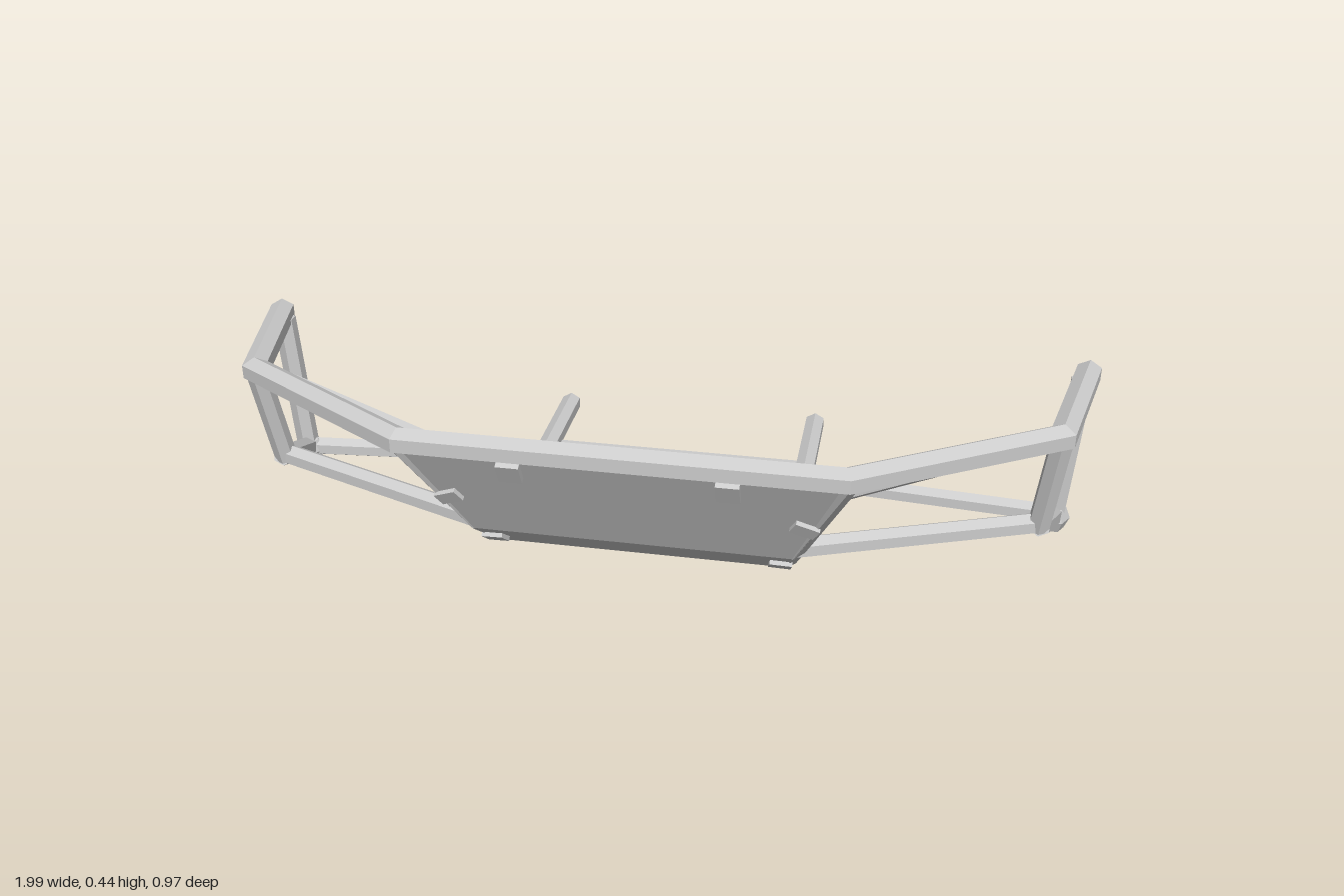
import * as THREE from 'three';

const material = new THREE.MeshStandardMaterial({ color: 0xcccccc, flatShading: true });
const V = (p) => new THREE.Vector3(...p);

// Closed loft through matching rings (counter-clockwise around the travel direction)
function loft(rings) {
  const n = rings[0].length, pos = [];
  const tri = (...pts) => pts.forEach((p) => pos.push(p.x, p.y, p.z));
  for (let r = 0; r < rings.length - 1; r++) {
    for (let i = 0; i < n; i++) {
      const j = (i + 1) % n, a = rings[r], b = rings[r + 1];
      tri(a[i], a[j], b[j]);
      tri(a[i], b[j], b[i]);
    }
  }
  const s = rings[0], e = rings[rings.length - 1];
  for (let i = 1; i < n - 1; i++) {
    tri(s[0], s[i + 1], s[i]);
    tri(e[0], e[i], e[i + 1]);
  }
  const g = new THREE.BufferGeometry();
  g.setAttribute('position', new THREE.Float32BufferAttribute(pos, 3));
  g.computeVertexNormals();
  return g;
}

// Hexagonal tube along a polyline with mitred corners
function tube(points, radius) {
  const pts = points.map(V);
  const dirs = pts.slice(1).map((p, i) => p.clone().sub(pts[i]).normalize());
  const ref = Math.abs(dirs[0].y) > 0.9 ? V([0, 0, 1]) : V([0, 1, 0]);
  const u = ref.addScaledVector(dirs[0], -ref.dot(dirs[0])).normalize();
  const v = dirs[0].clone().cross(u);
  const rings = [Array.from({ length: 6 }, (_, i) => {
    const a = (i * Math.PI) / 3;
    return pts[0].clone().addScaledVector(u, radius * Math.cos(a)).addScaledVector(v, radius * Math.sin(a));
  })];
  dirs.forEach((d, k) => {
    // slide the previous ring along the segment onto the mitre plane
    const plane = d.clone().add(dirs[k + 1] || d).normalize();
    rings.push(rings[k].map((p) =>
      p.clone().addScaledVector(d, pts[k + 1].clone().sub(p).dot(plane) / d.dot(plane))));
  });
  return loft(rings);
}

export function createModel() {
  const model = new THREE.Group();
  model.name = 'frontBumper';
  const add = (name, geometry, parent = model) => {
    const mesh = new THREE.Mesh(geometry, material);
    mesh.name = name;
    parent.add(mesh);
    return mesh;
  };

  // Top rail wrapping around the front
  const half = [[0.97, 0.407, -0.14], [0.9, 0.405, 0.19], [0.47, 0.404, 0.457]];
  const mirrored = half.map(([x, y, z]) => [-x, y, z]).reverse();
  add('topRail', tube([...half, ...mirrored], 0.031));

  // Tubes of one side, written for +x
  const tubes = {
    mainRail: [0.026, [0.33, 0.04, -0.49], [0.33, 0.04, 0.185], [0.355, 0.145, 0.315], [0.47, 0.4, 0.455]],
    rearPost: [0.027, [0.955, 0.4, -0.11], [0.93, 0.042, -0.11]],
    lowerCrossbar: [0.024, [0.93, 0.045, -0.115], [0.33, 0.045, -0.17]],
    middlePost: [0.026, [0.9, 0.4, 0.185], [0.878, 0.15, 0.135]],
    lowerDiagonal: [0.025, [0.88, 0.16, 0.145], [0.93, 0.045, -0.11]],
    middleCrossbar: [0.025, [0.885, 0.16, 0.13], [0.36, 0.145, 0.31]],
    outerBrace: [0.022, [0.885, 0.4, 0.18], [0.445, 0.16, 0.075]],
    innerBrace: [0.022, [0.47, 0.4, 0.44], [0.445, 0.16, 0.075]],
  };

  for (const s of [1, -1]) {
    const side = new THREE.Group();
    side.name = s > 0 ? 'leftSide' : 'rightSide';
    model.add(side);
    for (const [name, [radius, ...path]] of Object.entries(tubes)) {
      add(name, tube(path.map(([x, y, z]) => [s * x, y, z]), radius), side);
    }

    // Faceted joint at the low rear corner
    add('cornerJoint', new THREE.SphereGeometry(0.04, 6, 4), side).position.set(s * 0.93, 0.04, -0.11);

    // Tabs holding the skid plate: width, height, position, tilt, spin
    const tabs = [
      [0.05, 0.055, [0.23, 0.355, 0.457], 0.49, 0],
      [0.055, 0.035, [0.385, 0.25, 0.398], 0.49, -0.45],
      [0.05, 0.045, [0.325, 0.08, 0.272], 0.87, -0.15],
    ];
    for (const [w, h, [x, y, z], tilt, spin] of tabs) {
      const tab = add('plateTab', new THREE.BoxGeometry(w, h, 0.022), side);
      tab.position.set(s * x, y, z);
      tab.rotation.set(tilt, 0, s * spin);
    }
  }

  // Folded skid plate: half width, outer y and z, inner y and z
  const folds = [
    [0.315, 0.018, -0.285, 0.032, -0.285],
    [0.33, 0.018, 0.195, 0.032, 0.189],
    [0.36, 0.13, 0.335, 0.136, 0.322],
    [0.478, 0.385, 0.47, 0.391, 0.457],
  ];
  add('skidPlate', loft(folds.map(([w, y, z, yi, zi]) =>
    [[w, y, z], [w, yi, zi], [-w, yi, zi], [-w, y, z]].map(V))));

  return model;
}
